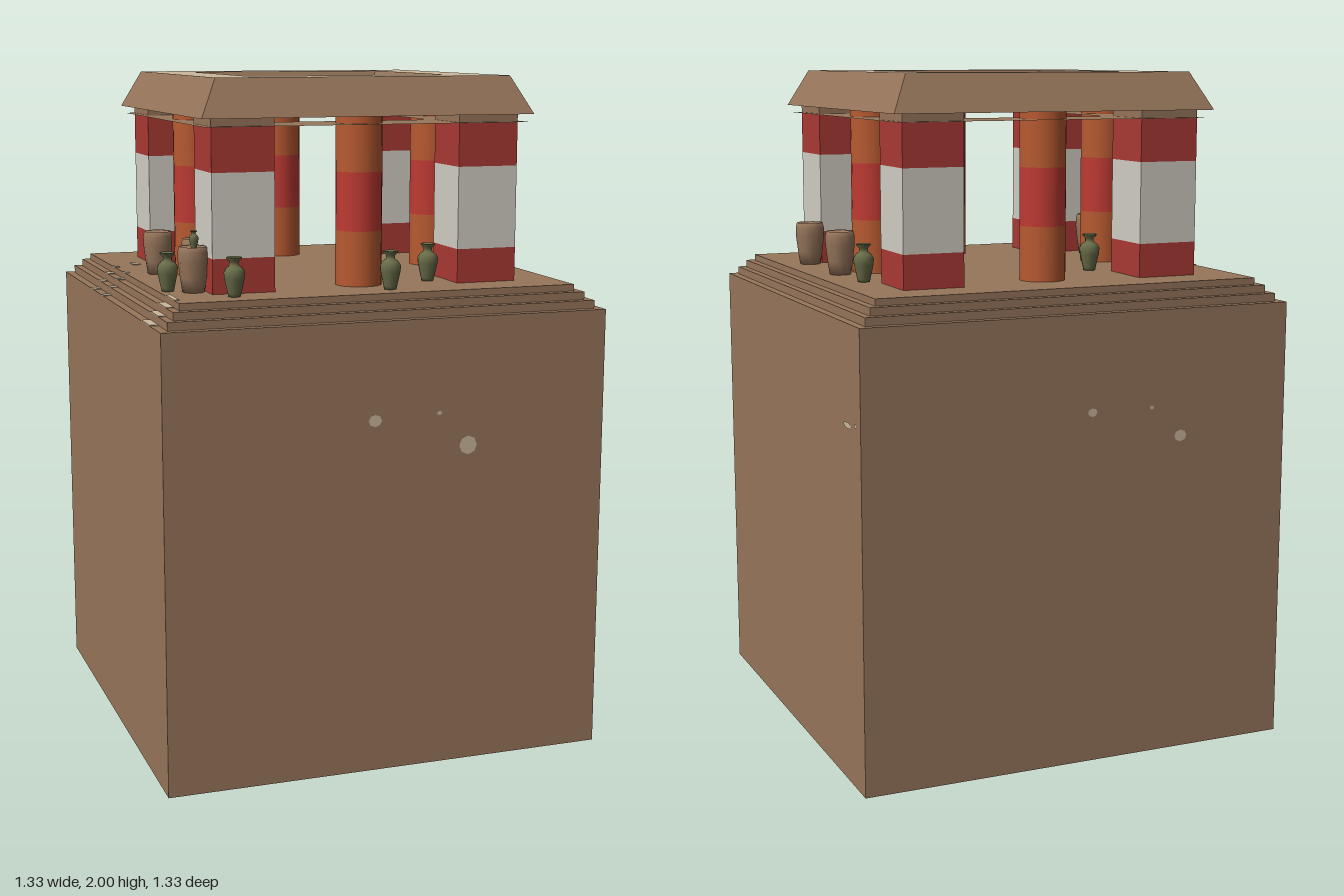
import * as THREE from 'three';

const mat = (name, color, side = THREE.FrontSide) => {
  const m = new THREE.MeshStandardMaterial({ color, side });
  m.name = name;
  return m;
};

export function createModel() {
  const root = new THREE.Group();
  const brown = mat('brown clay', 0x97765b, THREE.DoubleSide);
  const tan = mat('pale sandstone', 0xcbb89c, THREE.DoubleSide);
  const red = mat('red paint', 0xab3a35);
  const white = mat('off white paint', 0xd2cfc4);
  const orange = mat('orange paint', 0xb85a31);
  const scarlet = mat('scarlet paint', 0xbe3a33);
  const olive = mat('olive glaze', 0x686c48, THREE.DoubleSide);

  const add = (name, geo, material, x = 0, y = 0, z = 0, parent = root) => {
    const m = new THREE.Mesh(geo, material);
    m.name = name;
    m.position.set(x, y, z);
    parent.add(m);
    return m;
  };

  // Nested open-bottomed cubes: the largest is the base, the others form the steps
  const steps = [[0.665, 1.333], [0.64, 1.357], [0.618, 1.38], [0.595, 1.4]];
  steps.forEach(([h, top], i) => {
    const g = new THREE.BoxGeometry(2 * h, 2 * h, 2 * h);
    const idx = Array.from(g.index.array);
    idx.splice(18, 6); // drop the bottom face
    g.setIndex(idx);
    g.clearGroups();
    add(i ? 'step' + i : 'base', g, brown, 0, top - h, 0);
  });

  // Square ring surfaces made from a four-sided lathe with flat faces
  const squareRing = (name, pts, material) => {
    const p = pts.map(([r, y]) => new THREE.Vector2(r * Math.SQRT2, y));
    const g = new THREE.LatheGeometry(p, 4).toNonIndexed();
    g.rotateY(Math.PI / 4);
    g.computeVertexNormals();
    add(name, g, material);
  };
  squareRing('roofSides', [[0.26, 1.89], [0.5, 1.89], [0.445, 2]], brown);
  squareRing('roofTop', [[0.445, 2], [0.31, 2]], tan);
  squareRing('roofInnerSlope', [[0.31, 2], [0.26, 1.89]], brown);
  squareRing('roofLowerSheet', [[0.26, 1.867], [0.49, 1.867]], brown);

  // Banded supports: each band is [bottom, top, material]
  const pillarBands = [[1.4, 1.5, red], [1.5, 1.74, white], [1.74, 1.865, red], [1.865, 1.89, brown]];
  const columnBands = [[1.4, 1.56, orange], [1.56, 1.73, scarlet], [1.73, 1.89, orange]];
  const banded = (name, bands, make, x, z) => {
    const grp = new THREE.Group();
    grp.name = name;
    bands.forEach(([a, b, m], i) => add('band' + i, make(b - a), m, x, (a + b) / 2, z, grp));
    root.add(grp);
  };
  for (const sx of [-1, 1]) for (const sz of [-1, 1])
    banded('cornerPillar', pillarBands, h => new THREE.BoxGeometry(0.184, h, 0.184), sx * 0.372, sz * 0.372);
  for (const [x, z] of [[0, 0.385], [0, -0.385], [0.385, 0], [-0.385, 0]])
    banded('roundColumn', columnBands, h => new THREE.CylinderGeometry(0.068, 0.068, h, 20), x, z);

  // Storage pots and small vases
  const lathe = (pts, n) => new THREE.LatheGeometry(pts.map(p => new THREE.Vector2(...p)), n);
  const potGeo = lathe([[0, 0], [0.032, 0], [0.038, 0.04], [0.044, 0.09], [0.044, 0.115],
    [0.04, 0.13], [0.034, 0.128], [0, 0.12]], 10);
  const vaseGeo = lathe([[0, 0], [0.018, 0], [0.02, 0.01], [0.029, 0.05], [0.031, 0.068], [0.024, 0.08],
    [0.013, 0.088], [0.013, 0.098], [0.023, 0.108], [0.02, 0.111], [0, 0.1]], 12);
  for (const [x, z] of [[0.505, -0.03], [0.505, 0.27], [-0.5, -0.03], [-0.5, 0.39], [-0.44, 0.2]])
    add('pot', potGeo, brown, x, 1.4, z);
  for (const [x, z] of [[-0.565, 0.35], [-0.415, 0.515], [0.05, 0.515], [0.5, -0.23], [0.22, 0.38], [-0.23, -0.23]])
    add('vase', vaseGeo, olive, x, 1.4, z);
  add('vaseOnPot', vaseGeo, olive, -0.5, 1.525, 0.4).scale.setScalar(0.45);

  // Worn pale patches on the walls
  const patch = (w, h, x, y, z, ry) => {
    const m = add('wornPatch', new THREE.CircleGeometry(0.5, 8), tan, x, y, z);
    m.scale.set(w, h, 1);
    m.rotation.y = ry;
  };
  patch(0.04, 0.035, -0.05, 1.05, 0.667, 0);
  patch(0.055, 0.055, 0.235, 0.96, 0.667, 0);
  patch(0.015, 0.012, 0.145, 1.06, 0.667, 0);
  patch(0.03, 0.025, -0.03, 1.05, -0.667, Math.PI);
  patch(0.012, 0.012, -0.22, 1.05, -0.667, Math.PI);
  patch(0.04, 0.035, -0.315, 0.96, -0.667, Math.PI);
  patch(0.07, 0.018, 0.667, 1.05, -0.56, Math.PI / 2);
  patch(0.02, 0.012, 0.667, 1.06, -0.625, Math.PI / 2);

  // Worn pale patches running up the steps
  for (const [z, d] of [[0.49, 0.1], [-0.08, 0.03], [-0.23, 0.04]])
    steps.forEach(([h, top], i) => {
      const w = i < 3 ? h - steps[i + 1][0] : 0.015;
      add('wornStep', new THREE.BoxGeometry(w, 0.003, d), tan, -h + w / 2, top + 0.001, z);
    });
  add('wornFloor', new THREE.BoxGeometry(0.025, 0.003, 0.045), tan, -0.515, 1.401, -0.275);

  return root;
}
